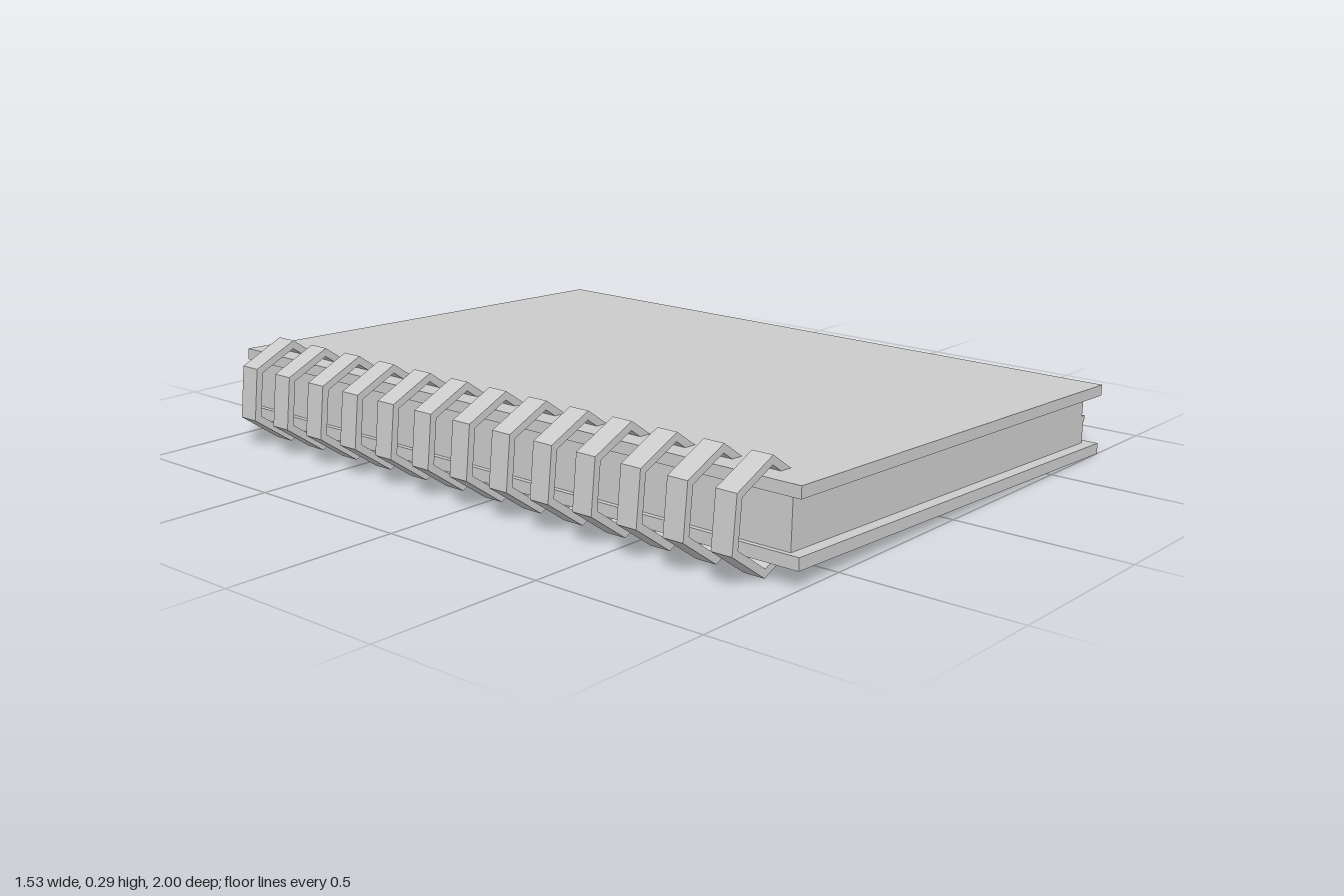
import * as THREE from 'three';

const material = new THREE.MeshStandardMaterial({ color: 0xcccccc, flatShading: true });

// Straight extrusion of an x-y outline, centred on z = 0
function slab(name, points, depth, hole) {
  const toVec = ([x, y]) => new THREE.Vector2(x, y);
  const shape = new THREE.Shape(points.map(toVec));
  if (hole) shape.holes.push(new THREE.Path(hole.map(toVec)));
  const geometry = new THREE.ExtrudeGeometry(shape, { depth, bevelEnabled: false });
  geometry.translate(0, 0, -depth / 2);
  const mesh = new THREE.Mesh(geometry, material);
  mesh.name = name;
  return mesh;
}

export function createModel() {
  const notebook = new THREE.Group();
  notebook.name = 'spiralNotebook';

  // Covers, both leaning down towards the opening edge
  notebook.add(slab('topCover', [[-0.655, 0.224], [0.764, 0.176], [0.765, 0.207], [-0.654, 0.256]], 2));
  notebook.add(slab('bottomCover', [[-0.659, 0.053], [0.76, 0.006], [0.761, 0.037], [-0.658, 0.086]], 2));

  // Page block with a thin ridge along the opening edge
  notebook.add(slab('pages', [
    [-0.643, 0.084], [0.731, 0.037], [0.734, 0.1], [0.739, 0.1],
    [0.74, 0.117], [0.725, 0.117], [0.728, 0.178], [-0.638, 0.225],
  ], 1.93));

  // Hexagonal binding rings passing through the covers
  const cx = -0.633, cy = 0.153;
  const outer = [
    [-0.497, 0.214], [-0.62, 0.3], [-0.753, 0.24],
    [-0.769, 0.092], [-0.646, 0.006], [-0.513, 0.066],
  ];
  const inner = outer.map(([x, y]) => [cx + (x - cx) * 0.84, cy + (y - cy) * 0.84]);
  const rings = new THREE.Group();
  rings.name = 'bindingRings';
  const count = 13, spacing = 0.1438;
  for (let i = 0; i < count; i++) {
    const ring = slab('ring' + (i + 1), outer, 0.062, inner);
    ring.position.z = (i - (count - 1) / 2) * spacing;
    rings.add(ring);
  }
  notebook.add(rings);
  return notebook;
}
